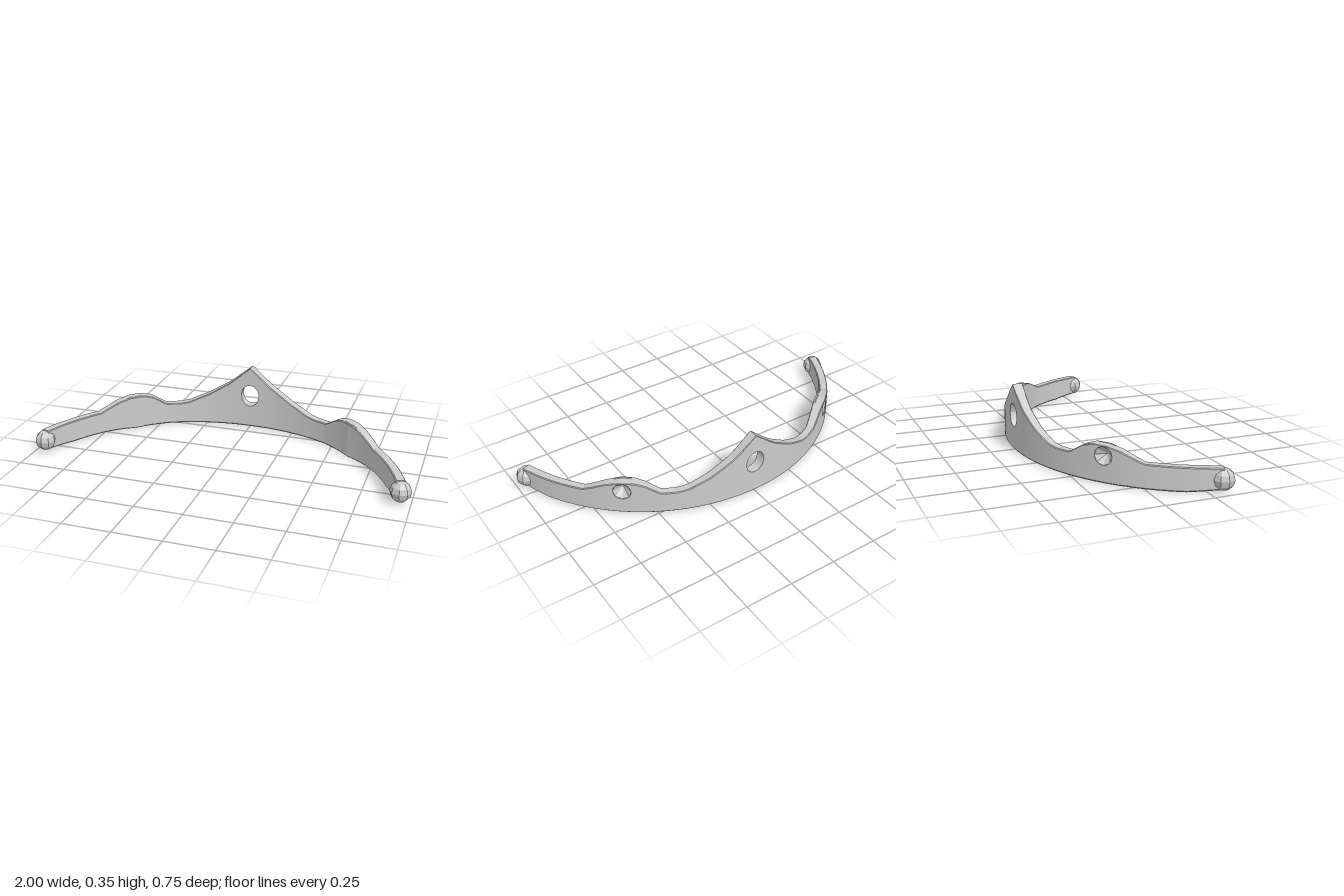
import * as THREE from 'three';
import { toCreasedNormals } from 'three/addons/utils/BufferGeometryUtils.js';

const CZ = 0.645, R_OUT = 1.02, R_MID = 0.99;   // the band follows a circular arc
const END = 1.24;                               // half angle of the arc
const toAngle = x => Math.asin(x / R_MID);

// linear interpolation through [x, value] pairs, symmetric in x
function profile(points) {
  return angle => {
    const x = Math.abs(R_MID * Math.sin(angle));
    for (let i = 1; i < points.length; i++) {
      const [x0, v0] = points[i - 1], [x1, v1] = points[i];
      if (x <= x1) return v0 + (v1 - v0) * (x - x0) / (x1 - x0);
    }
    return points[points.length - 1][1];
  };
}
const topEdge = profile([[0, 0.35], [0.12, 0.25], [0.24, 0.177], [0.35, 0.128], [0.4, 0.12], [0.47, 0.122],
  [0.535, 0.17], [0.58, 0.187], [0.64, 0.184], [0.69, 0.168], [0.765, 0.122], [1, 0.118]]);
const bottomEdge = profile([[0, 0], [0.87, 0], [0.94, 0.014]]);
const innerRadius = profile([[0, 0.966], [0.46, 0.975], [0.62, 0.96], [0.75, 0.976], [0.94, 0.972]]);
const outerRadius = () => R_OUT;

// curved strip with a closed, chamfered cross-section
function strip(a0, a1, steps, low, high, inner, outer, chamferLow, chamferHigh) {
  const pos = [], index = [], n = 8;
  for (let i = 0; i <= steps; i++) {
    const a = a0 + (a1 - a0) * i / steps;
    const b = low(a), t = high(a), ri = inner(a), ro = outer(a), l = chamferLow, h = chamferHigh;
    const section = [[ro - l, b], [ro, b + l], [ro, t - h], [ro - h, t],
      [ri + h, t], [ri, t - h], [ri, b + l], [ri + l, b]];
    for (const [r, y] of section) pos.push(r * Math.sin(a), y, CZ - r * Math.cos(a));
  }
  for (let i = 0; i < steps; i++) {
    for (let j = 0; j < n; j++) {
      const p = i * n + j, q = i * n + (j + 1) % n;
      index.push(p, q, q + n, p, q + n, p + n);
    }
  }
  const last = steps * n;
  for (let j = 1; j < n - 1; j++) index.push(0, j + 1, j, last, last + j, last + j + 1);
  const geo = new THREE.BufferGeometry();
  geo.setAttribute('position', new THREE.Float32BufferAttribute(pos, 3));
  geo.setIndex(index);
  return toCreasedNormals(geo, 0.5);
}

export function createModel() {
  const group = new THREE.Group();
  const grey = new THREE.MeshStandardMaterial({ color: 0xcccccc });
  const knobGrey = new THREE.MeshStandardMaterial({ color: 0xcccccc, flatShading: true });
  const pitGrey = new THREE.MeshStandardMaterial({ color: 0xcccccc, flatShading: true, side: THREE.DoubleSide });
  const add = (name, geo, mat = grey) => {
    const mesh = new THREE.Mesh(geo, mat);
    mesh.name = name;
    group.add(mesh);
    return mesh;
  };
  const C = 0.007;

  // wall above and below an oval opening
  function piercedWall(name, centre, half, y, ry, inner) {
    const rise = a => ry * Math.sqrt(Math.max(0, 1 - ((a - centre) / half) ** 2));
    const [a0, a1] = [centre - half, centre + half];
    add(name + 'Below', strip(a0, a1, 16, bottomEdge, a => y - rise(a), inner, outerRadius, C, 0));
    add(name + 'Above', strip(a0, a1, 16, a => y + rise(a), topEdge, inner, outerRadius, 0, 0.002));
  }

  // central peak with its through hole
  const peakHalf = 0.053;
  piercedWall('peak', 0, peakHalf, 0.186, 0.061, innerRadius);

  const gem = toAngle(0.625), gemHalf = 0.046;
  for (const s of [-1, 1]) {
    const side = s > 0 ? 'left' : 'right';
    const band = (name, a, b, steps) => {
      const [a0, a1] = s > 0 ? [a, b] : [-b, -a];
      add(side + name, strip(a0, a1, steps, bottomEdge, topEdge, innerRadius, outerRadius, C, 0.004));
    };
    band('FrontBand', peakHalf, gem - gemHalf, 40);
    band('EndBand', gem + gemHalf, END, 40);

    // blind socket in the outer face of the small peak
    const backing = a => innerRadius(a) + 0.012;
    add(side + 'SocketBacking', strip(s * gem - gemHalf, s * gem + gemHalf, 16,
      bottomEdge, topEdge, innerRadius, backing, 0.004, 0.002));
    piercedWall(side + 'Socket', s * gem, gemHalf, 0.135, 0.045, backing);
    const pit = add(side + 'SocketPit', new THREE.ConeGeometry(0.047, 0.045, 8, 1, true).rotateX(Math.PI / 2), pitGrey);
    const r = R_OUT - 0.025;
    pit.position.set(s * r * Math.sin(gem), 0.135, CZ - r * Math.cos(gem));
    pit.rotation.y = -s * gem;

    // faceted knob at the tip of the band
    const knob = add(side + 'EndKnob', new THREE.SphereGeometry(0.054, 8, 6), knobGrey);
    knob.position.set(s * 0.946, 0.062, 0.321);
  }
  return group;
}
